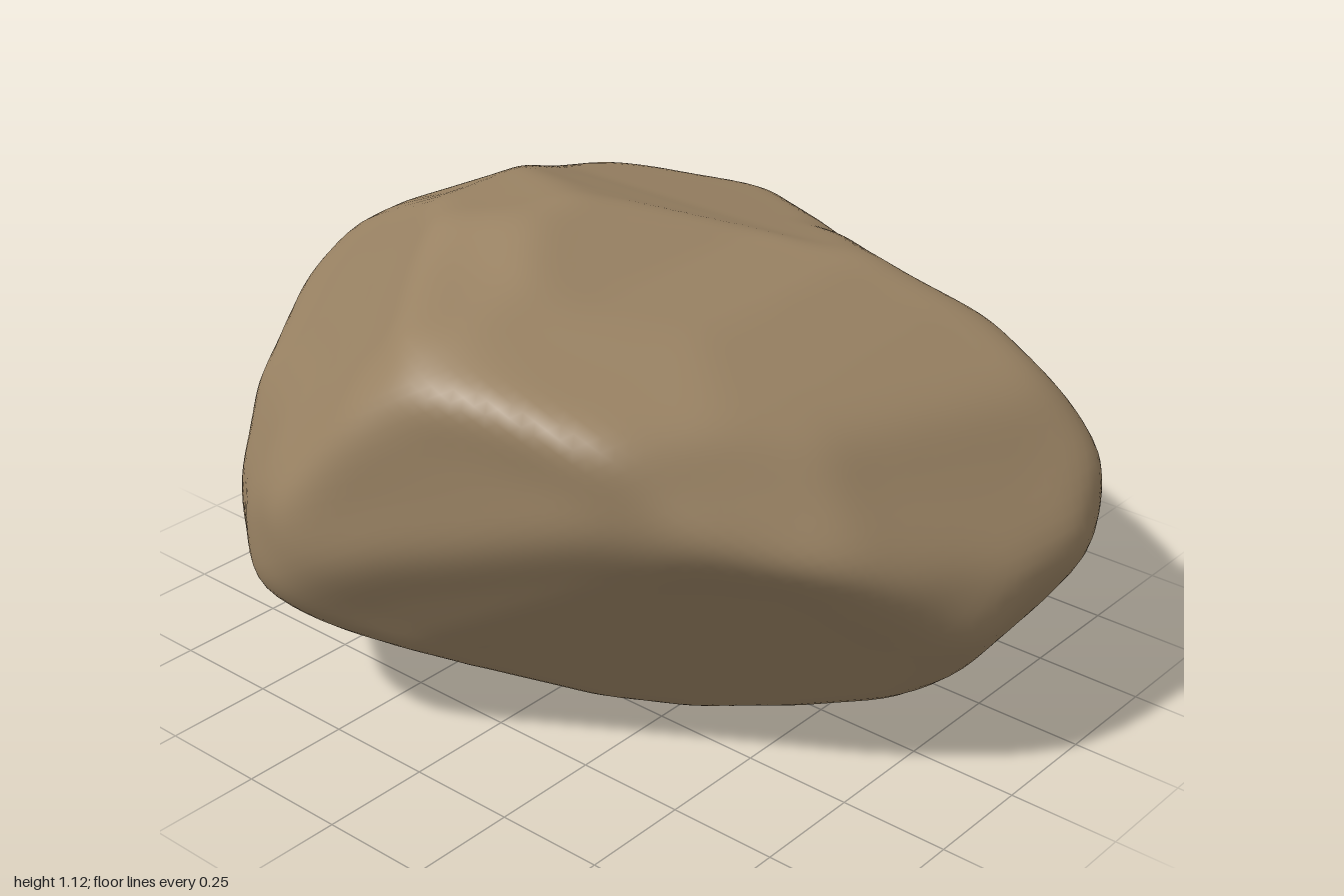
import * as THREE from 'three';
import { mergeVertices } from 'three/addons/utils/BufferGeometryUtils.js';

// Outlines in hundredths of a unit around the stone's centre: [across, up, ...]
const FRONT = [-101, 9, -97, 15, -90, 22, -80, 31, -58, 42, -35, 52, -7, 56, 20, 47, 40, 43, 60, 35, 80, 25, 92, 15,
  101, -1, 95, -16, 85, -31, 72, -43, 50, -50, 20, -55, 0, -56, -18, -55, -53, -48, -80, -27, -93, -10, -101, 4];
const SIDE = [-92, 4, -89, 24, -82, 39, -74, 46, -50, 50, -32, 55, -15, 56, -5, 53, 20, 44, 40, 39, 60, 34, 80, 19,
  91, 0, 93, -11, 86, -26, 60, -36, 30, -47, 3, -55, -13, -56, -35, -49, -60, -36, -80, -25, -89, -14];
const PLAN = [0, 93, 15, 91, 40, 84, 60, 74, 80, 58, 93, 38, 100, 20, 98, 0, 88, -27, 80, -43, 64, -60, 47, -71,
  20, -80, 0, -87, -20, -92, -40, -83, -60, -68, -75, -50, -90, -25, -101, -8, -96, 20, -90, 40, -80, 55, -60, 73, -40, 82, -20, 88];
const DIAG_FRONT = [-93, -9, -90, 20, -84, 33, -73, 43, -59, 47, -37, 54, -18, 60, -8, 60, 21, 56, 51, 36, 73, 25, 90, 9,
  102, -10, 102, -16, 82, -39, 60, -57, 40, -60, 13, -62, -12, -60, -40, -54, -77, -40, -87, -28];
const DIAG_BACK = [-102, -3, -97, 19, -75, 38, -48, 52, -20, 65, 14, 70, 40, 68, 52, 58, 74, 29, 94, -6, 90, -19,
  69, -46, 49, -57, 27, -61, -31, -56, -61, -46, -92, -32, -98, -21];
const DIAG_BELOW = [-88, 18, -80, 29, -66, 45, -44, 58, -25, 61, -2, 58, 17, 51, 45, 49, 64, 43, 76, 36, 89, 18, 96, -7,
  92, -18, 78, -37, 56, -54, 25, -64, 3, -69, -5, -68, -40, -58, -52, -40, -74, -7, -87, 12];

// Each outline is swept along a direction given by azimuth and elevation in degrees
const sweep = (outline, azimuth, elevation) => {
  const a = THREE.MathUtils.degToRad(azimuth), e = THREE.MathUtils.degToRad(elevation);
  return {
    outline,
    right: new THREE.Vector3(Math.cos(a), 0, -Math.sin(a)),
    up: new THREE.Vector3(-Math.sin(a) * Math.sin(e), Math.cos(e), -Math.cos(a) * Math.sin(e)),
  };
};

// Broad worn faces: normal and distance from the centre
const face = (x, y, z, distance) => ({ normal: new THREE.Vector3(x, y, z).normalize(), distance });
const FACES = [
  face(0.466, -0.604, 0.645, 0.605), // undercut front left
  face(-0.54, 0.66, 0.52, 0.69),     // sloping front right
  face(0.28, 0.95, 0.12, 0.56),      // top left
  face(0.8, 0.59, 0.11, 0.77),       // steep left side
  face(0.5, 0.7, -0.5, 0.79),        // back shoulders
  face(-0.5, 0.7, -0.5, 0.77),
  face(-0.52, 0.42, -0.74, 0.84),
  face(0.41, -0.8, -0.445, 0.635),   // back underside
  face(-0.5, -0.7, -0.5, 0.76),
];

// Distance along a ray from the origin to an outline
function reach(outline, u, v) {
  let best = Infinity;
  for (let i = 0; i < outline.length; i += 2) {
    const j = (i + 2) % outline.length;
    const px = outline[i] / 100, py = outline[i + 1] / 100;
    const ex = outline[j] / 100 - px, ey = outline[j + 1] / 100 - py;
    const det = u * ey - v * ex;
    if (Math.abs(det) < 1e-9) continue;
    const t = (px * ey - py * ex) / det;
    const s = (px * v - py * u) / det;
    if (t > 0 && s >= -1e-6 && s <= 1 + 1e-6) best = Math.min(best, t);
  }
  return best;
}

// Wear the edges down; every second pass pushes back out so the stone keeps its size
function smooth(geometry, passes) {
  const p = geometry.attributes.position, index = geometry.index.array;
  const neighbours = Array.from({ length: p.count }, () => new Set());
  for (let i = 0; i < index.length; i += 3) {
    for (let k = 0; k < 3; k++) {
      neighbours[index[i + k]].add(index[i + (k + 1) % 3]).add(index[i + (k + 2) % 3]);
    }
  }
  for (let pass = 0; pass < passes; pass++) {
    const old = p.array.slice(), pull = pass % 2 ? -0.61 : 0.6;
    for (let i = 0; i < p.count; i++) {
      for (let c = 0; c < 3; c++) {
        let sum = 0;
        for (const n of neighbours[i]) sum += old[n * 3 + c];
        p.array[i * 3 + c] = (1 - pull) * old[i * 3 + c] + pull * sum / neighbours[i].size;
      }
    }
  }
}

export function createModel() {
  const group = new THREE.Group();
  group.name = 'boulder';
  const sweeps = [
    sweep(FRONT, 0, 0), sweep(SIDE, 90, 0), sweep(PLAN, 0, 90),
    sweep(DIAG_FRONT, 35, 25), sweep(DIAG_BACK, 215, 25), sweep(DIAG_BELOW, 135, -25),
  ];

  // Carve a fine sphere by the outlines and faces
  const ball = new THREE.IcosahedronGeometry(1, 36);
  ball.deleteAttribute('normal');
  ball.deleteAttribute('uv');
  const geometry = mergeVertices(ball, 1e-4);
  const p = geometry.attributes.position, d = new THREE.Vector3();
  for (let i = 0; i < p.count; i++) {
    d.fromBufferAttribute(p, i).normalize();
    let r = 1.2;
    for (const s of sweeps) r = Math.min(r, reach(s.outline, d.dot(s.right), d.dot(s.up)));
    for (const f of FACES) {
      const facing = d.dot(f.normal);
      if (facing > 0.01) r = Math.min(r, f.distance / facing);
    }
    p.setXYZ(i, d.x * r, d.y * r, d.z * r);
  }
  smooth(geometry, 60);

  // Stand it on the ground
  geometry.center();
  geometry.translate(0, -geometry.boundingBox.min.y, 0);
  geometry.computeVertexNormals();

  const material = new THREE.MeshStandardMaterial({ color: 0x998263 });
  material.name = 'brown stone';
  const stone = new THREE.Mesh(geometry, material);
  stone.name = 'stone';
  group.add(stone);
  return group;
}
